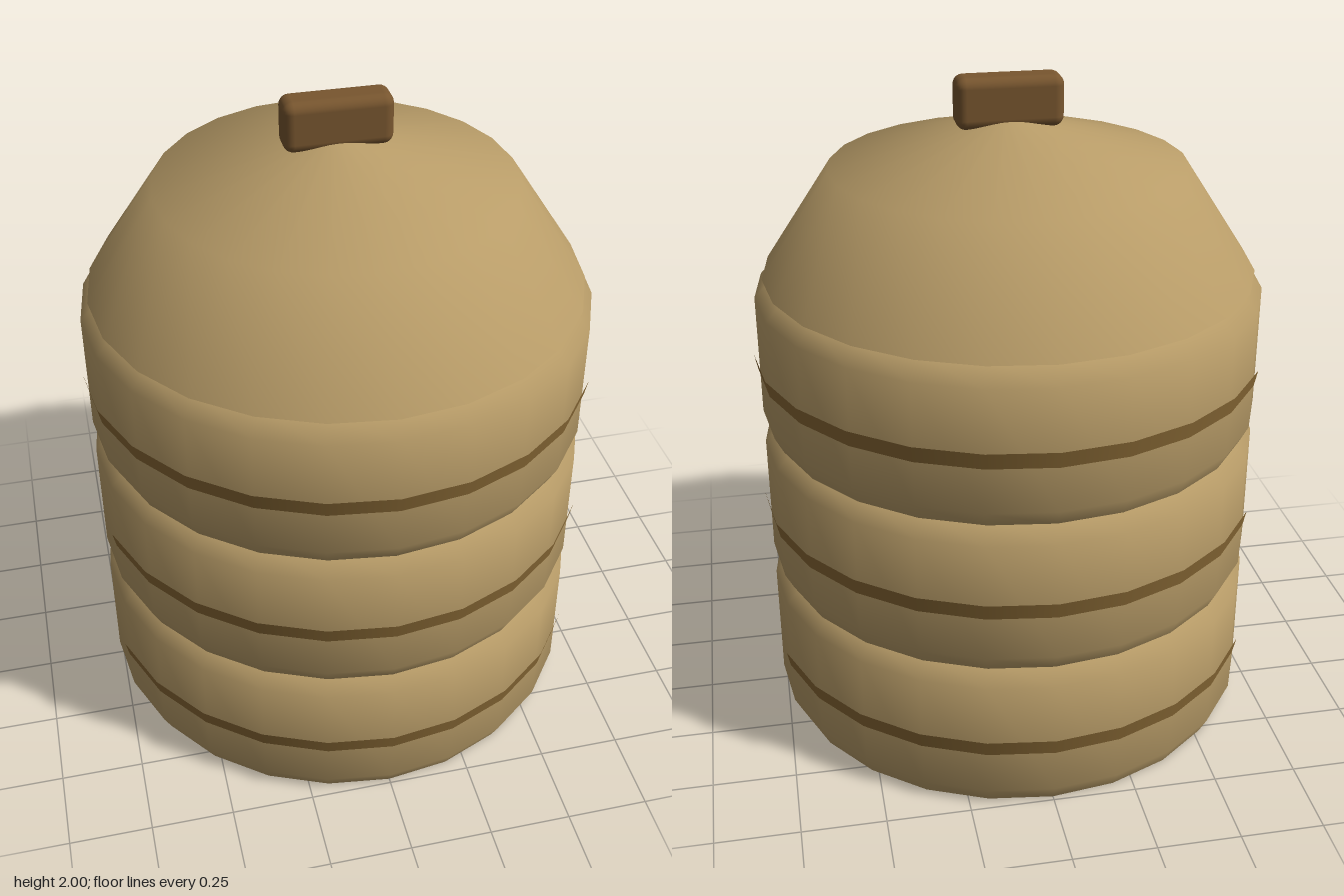
import * as THREE from 'three';
import { toCreasedNormals } from 'three/addons/utils/BufferGeometryUtils.js';
import { RoundedBoxGeometry } from 'three/addons/geometries/RoundedBoxGeometry.js';

const SIDES = 24;
const TIER = 0.475;

// Turned solid from [radius, height] pairs, bottom to top
function turned(profile) {
  const points = profile.map(([r, y]) => new THREE.Vector2(r, y));
  return toCreasedNormals(new THREE.LatheGeometry(points, SIDES), 0.9);
}

export function createModel() {
  const model = new THREE.Group();
  const straw = new THREE.MeshStandardMaterial({ color: 0xb89c68 });
  const bandMat = new THREE.MeshStandardMaterial({ color: 0x8a6a36 });
  const wood = new THREE.MeshStandardMaterial({ color: 0x78562f });

  const add = (name, geometry, material, y = 0) => {
    const mesh = new THREE.Mesh(geometry, material);
    mesh.name = name;
    mesh.position.y = y;
    model.add(mesh);
  };

  // Three stacked tiers, each with a thin flared band standing just off the wall
  const tierGeo = turned([
    [0, 0], [0.735, 0], [0.76, 0.05], [0.76, 0.42], [0.705, TIER], [0, TIER],
  ]);
  const bandGeo = new THREE.CylinderGeometry(0.775, 0.765, 0.05, SIDES, 1, true);
  for (let i = 0; i < 3; i++) {
    add(`tier${i + 1}`, tierGeo, straw, i * TIER);
    add(`band${i + 1}`, bandGeo, bandMat, i * TIER + 0.214);
  }

  // Domed lid with a soft peak
  add('lid', turned([
    [0, 0], [0.735, 0], [0.527, 0.315], [0.06, 0.447], [0, 0.458],
  ]), straw, 3 * TIER);

  // Lid handle
  add('handle', new RoundedBoxGeometry(0.315, 0.15, 0.105, 3, 0.03), wood, 1.925);

  return model;
}
